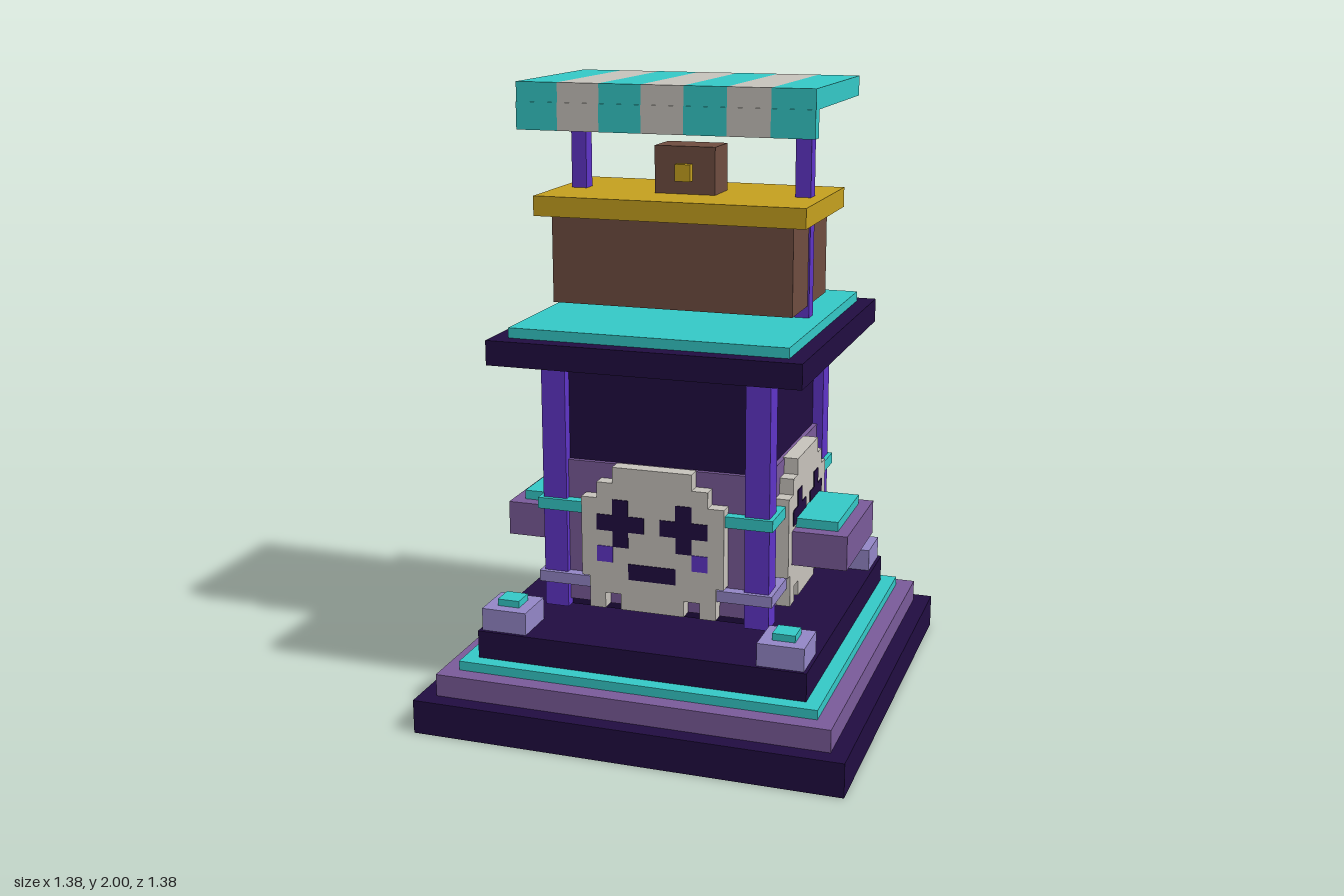
import * as THREE from 'three';

const mat = (name, color) => {
  const m = new THREE.MeshStandardMaterial({ color });
  m.name = name;
  return m;
};

export function createModel() {
  const M = {
    dark: mat('darkIndigo', 0x210d42),
    mauve: mat('mauve', 0x7b5c9b),
    teal: mat('teal', 0x35cbc9),
    lavender: mat('lavender', 0x9588c9),
    violet: mat('violet', 0x6035c9),
    brown: mat('brown', 0x704e41),
    gold: mat('gold', 0xc7a21f),
    bone: mat('bone', 0xc9c5be),
  };
  const root = new THREE.Group();
  root.name = 'shrineStall';

  // Box given by its minimum and maximum on each axis
  const box = (parent, name, m, x0, x1, y0, y1, z0, z1) => {
    const mesh = new THREE.Mesh(new THREE.BoxGeometry(x1 - x0, y1 - y0, z1 - z0), m);
    mesh.position.set((x0 + x1) / 2, (y0 + y1) / 2, (z0 + z1) / 2);
    mesh.name = name;
    parent.add(mesh);
  };
  // Box centred on x and z
  const slab = (name, m, hx, hz, y0, y1) => box(root, name, m, -hx, hx, y0, y1, -hz, hz);

  // Stepped base
  slab('basePlinth', M.dark, 0.692, 0.692, 0, 0.11);
  slab('baseStep', M.mauve, 0.637, 0.637, 0.11, 0.182);
  slab('baseTrim', M.teal, 0.582, 0.582, 0.182, 0.212);
  slab('baseTop', M.dark, 0.535, 0.535, 0.212, 0.302);

  // Tower core, lower panelling and the two bands around it
  slab('towerCore', M.dark, 0.335, 0.335, 0.35, 1.16);
  slab('towerPanels', M.mauve, 0.35, 0.35, 0.374, 0.838);
  slab('lowerBand', M.lavender, 0.384, 0.384, 0.434, 0.47);
  slab('upperBand', M.teal, 0.384, 0.384, 0.678, 0.714);

  // Corner lamps and pillars
  for (const sx of [-1, 1]) for (const sz of [-1, 1]) {
    const corner = new THREE.Group();
    corner.name = 'corner';
    root.add(corner);
    const post = (name, m, c, h, y0, y1) =>
      box(corner, name, m, sx * c - h, sx * c + h, y0, y1, sz * c - h, sz * c + h);
    post('cornerBlock', M.lavender, 0.45, 0.074, 0.302, 0.375);
    post('cornerLamp', M.teal, 0.45, 0.036, 0.375, 0.397);
    post('pillar', M.violet, 0.331, 0.039, 0.352, 1.16);
  }

  // Pixel mask on an 18 x 18 grid, one on each side
  const px = 0.0259, bottom = 0.374;
  const half = [[4, 0], [4, 2], [6, 2], [6, 0], [8, 0], [8, 4], [9, 4], [9, 14], [7, 14], [7, 16], [5, 16], [5, 18]];
  const outline = [...half, ...half.map(([x, y]) => [-x, y]).reverse()];
  // Small notches in the lower edge, steps at the crown
  const shape = new THREE.Shape(outline.map(([x, y]) => new THREE.Vector2(x * px, y * px)));
  const maskGeo = new THREE.ExtrudeGeometry(shape, { depth: 0.05, bevelEnabled: false });
  for (let i = 0; i < 4; i++) {
    const face = new THREE.Group();
    face.name = 'maskSide';
    face.rotation.y = i * Math.PI / 2;
    root.add(face);
    const mask = new THREE.Mesh(maskGeo, M.bone);
    mask.name = 'mask';
    mask.position.set(0, bottom, 0.345);
    face.add(mask);
    const plate = (name, m, x0, x1, r0, r1) =>
      box(face, name, m, x0 * px, x1 * px, bottom + r0 * px, bottom + r1 * px, 0.394, 0.398);
    for (const s of [-1, 1]) {
      const c = 4 * s;
      plate('eyeUpright', M.dark, c - 1, c + 1, 8, 14);
      for (const t of [-1, 1]) plate('eyeArm', M.dark, c + 2 * t - 1, c + 2 * t + 1, 10, 12);
      plate('cheek', M.violet, 6 * s - 1, 6 * s + 1, 6, 8);
    }
    plate('mouth', M.dark, -3, 3, 4, 6);
  }

  // Side shelves
  for (const s of [-1, 1]) {
    const span = (a, b) => (s > 0 ? [a, b] : [-b, -a]);
    box(root, 'sideShelf', M.mauve, ...span(0.36, 0.572), 0.508, 0.62, -0.19, 0.19);
    box(root, 'shelfTop', M.teal, ...span(0.36, 0.532), 0.62, 0.65, -0.147, 0.147);
  }

  // Roof platform
  slab('roof', M.dark, 0.497, 0.497, 1.16, 1.238);
  slab('roofTop', M.teal, 0.444, 0.444, 1.238, 1.27);

  // Floating counter with till
  slab('counter', M.brown, 0.39, 0.21, 1.308, 1.585);
  slab('counterTop', M.gold, 0.437, 0.246, 1.585, 1.648);
  slab('till', M.brown, 0.099, 0.066, 1.648, 1.797);
  box(root, 'tillPlate', M.gold, -0.025, 0.025, 1.69, 1.743, 0.066, 0.092);

  // Awning poles
  for (const s of [-1, 1]) {
    box(root, 'awningPole', M.violet, s * 0.37 - 0.025, s * 0.37 + 0.025, 1.27, 1.94, -0.025, 0.025);
  }

  // Striped awning with a front valance
  const w = 0.94 / 7;
  for (let i = 0; i < 7; i++) {
    const x = -0.47 + i * w, m = i % 2 ? M.bone : M.teal;
    box(root, 'awningStripe', m, x, x + w, 1.938, 2, -0.281, 0.281);
    box(root, 'valanceStripe', m, x, x + w, 1.855, 1.94, 0.242, 0.285);
  }
  return root;
}
